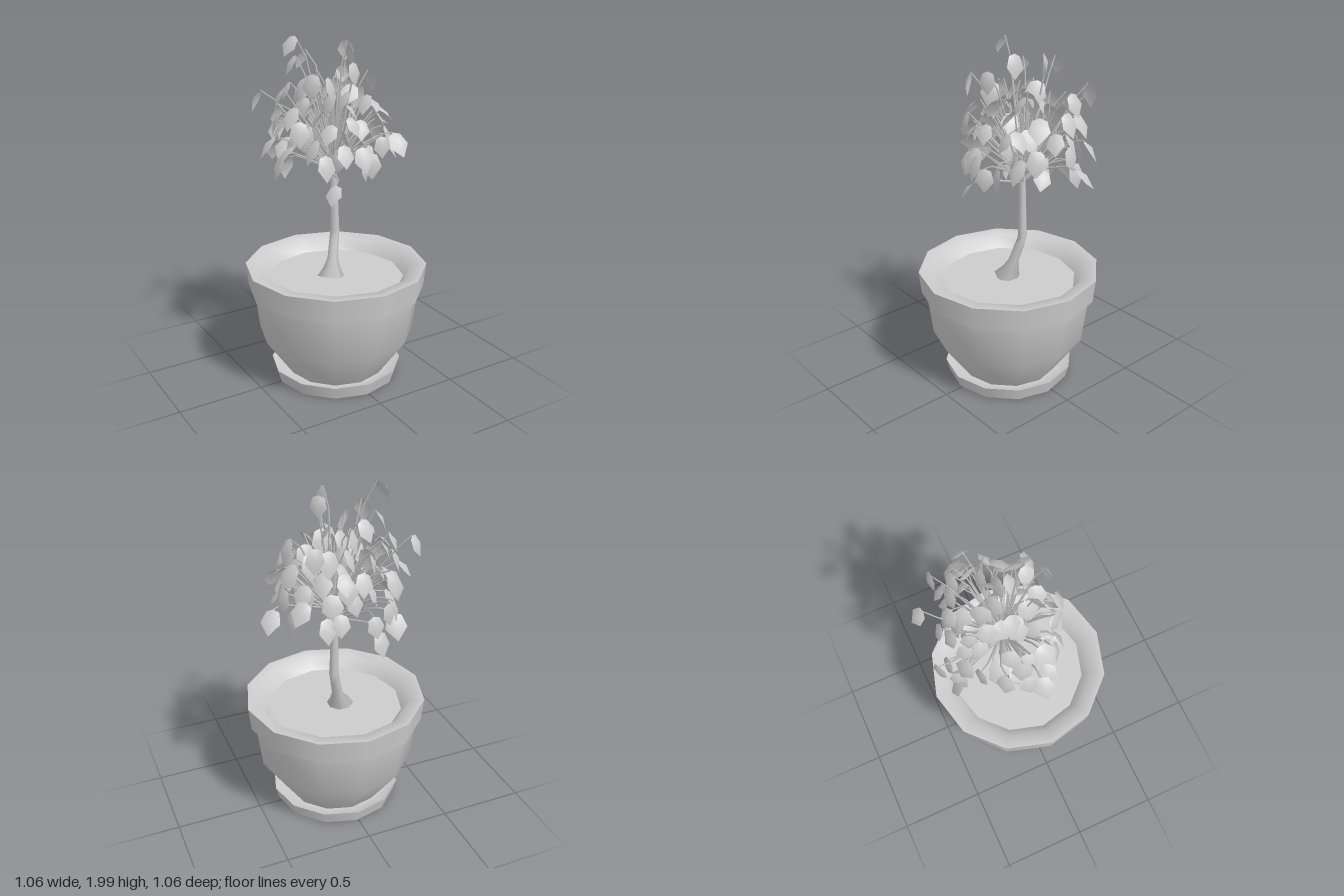
import * as THREE from 'three';
import { mergeGeometries } from 'three/addons/utils/BufferGeometryUtils.js';

const SIDES = 12, TURN = -0.03, POT_Z = 0.018;
const V = (x, y, z) => new THREE.Vector3(x, y, z);

// Seeded random numbers
let seed = 7;
const rnd = () => (seed = (seed * 16807) % 2147483647) / 2147483647;

function createMaterial() {
  return new THREE.MeshStandardMaterial({ color: 0xcccccc, side: THREE.DoubleSide });
}

// Twelve-sided turned bands; every profile in the list is smooth within itself
function turned(name, profiles, material) {
  const bands = profiles.map(p =>
    new THREE.LatheGeometry(p.map(([r, y]) => new THREE.Vector2(r, y)), SIDES, TURN));
  const mesh = new THREE.Mesh(mergeGeometries(bands), material);
  mesh.name = name;
  mesh.position.z = POT_Z;
  return mesh;
}

// Straight runs through the given points
function polyline(points) {
  const path = new THREE.CurvePath();
  for (let i = 1; i < points.length; i++) path.add(new THREE.LineCurve3(points[i - 1], points[i]));
  return path;
}

// Tube whose radius follows radiusAt(t)
function taperedTube(curve, segments, sides, radiusAt) {
  const geo = new THREE.TubeGeometry(curve, segments, 1, sides);
  const pos = geo.attributes.position, v = V(0, 0, 0);
  for (let i = 0; i <= segments; i++) {
    const c = curve.getPointAt(i / segments);
    for (let j = 0; j <= sides; j++) {
      const k = i * (sides + 1) + j;
      v.fromBufferAttribute(pos, k).sub(c).multiplyScalar(radiusAt(i / segments)).add(c);
      pos.setXYZ(k, v.x, v.y, v.z);
    }
  }
  return geo;
}

// Angular pointed leaf, folded on its midrib, growing along +z with its face up (+y)
function leafGeometry() {
  const geo = new THREE.BufferGeometry();
  geo.setAttribute('position', new THREE.Float32BufferAttribute([
    0, 0, 0, 0, 0.014, 0.06, 0, -0.02, 0.14,
    0.036, -0.004, 0.014, 0.055, -0.008, 0.075,
    -0.036, -0.004, 0.014, -0.055, -0.008, 0.075], 3));
  geo.setIndex([0, 1, 3, 3, 1, 4, 4, 1, 2, 0, 5, 1, 5, 6, 1, 6, 2, 1]);
  geo.computeVertexNormals();
  return geo;
}

// Leaf attachment points: outlying ones placed, the rest spread through a dome
function leafPoints() {
  const points = [
    [-0.18, 1.99, -0.11], [0.06, 1.95, 0.03], [0.14, 1.95, -0.1], [0, 1.88, -0.32],
    [-0.2, 1.82, 0.12], [-0.13, 1.87, -0.2], [0.01, 1.87, 0.17], [0.25, 1.77, -0.33],
    [0.31, 1.76, -0.14], [-0.35, 1.7, -0.2], [-0.36, 1.48, -0.02], [0.4, 1.37, -0.11],
    [0.31, 1.38, 0.04], [-0.1, 1.22, 0.19], [-0.1, 1.25, -0.35], [-0.09, 1.47, -0.46],
    [0.14, 1.66, -0.43], [0.2, 1.59, 0.15], [0.28, 1.46, 0.17], [-0.27, 1.57, 0.09],
    [0.02, 1.43, 0.25], [0.05, 1.36, 0.23], [-0.17, 1.36, -0.37], [0.3, 1.64, -0.2],
    [0.03, 1.74, -0.09], [0.05, 1.7, -0.24], [-0.1, 1.75, -0.15], [0.12, 1.72, 0],
  ].map(p => V(...p));
  const count = 62;
  for (let i = 0; i < count; i++) {
    const h = (i + 0.5) / count, a = i * 2.39996;
    const r = 0.35 * Math.sqrt(1 - 0.65 * h * h) * Math.sqrt(0.12 + 0.88 * rnd());
    points.push(V(0.01 + r * Math.sin(a), 1.34 + 0.43 * h + 0.06 * (rnd() - 0.5), -0.09 + r * Math.cos(a)));
  }
  return points;
}

export function createModel() {
  seed = 7;
  const model = new THREE.Group(), material = createMaterial();
  model.name = 'pottedTree';

  // Saucer, pot and rim
  model.add(turned('saucer', [
    [[0, 0], [0.365, 0]], [[0.365, 0], [0.385, 0.075]],
    [[0.385, 0.075], [0.3, 0.04], [0, 0.04]]], material));
  model.add(turned('potBody', [
    [[0.29, 0.04], [0.455, 0.28], [0.487, 0.548]]], material));
  // Rim rounds over from a nearly flat top down to the soil
  model.add(turned('potRim', [
    [[0.48, 0.548], [0.514, 0.548]], [[0.514, 0.548], [0.528, 0.685]],
    [[0.528, 0.685], [0.45, 0.678], [0.392, 0.605]]], material));

  // Soil
  model.add(turned('soil', [[[0.395, 0.61], [0, 0.61]]], material));

  // Trunk with a flared foot and a sharp bend
  const trunkPath = polyline([
    V(-0.025, 0.6, 0.005), V(0.036, 0.86, -0.055), V(0.03, 1.25, -0.057)]);
  const trunk = new THREE.Mesh(taperedTube(trunkPath, 12, 7,
    t => 0.034 - 0.016 * t + 0.05 * Math.max(0, 1 - t / 0.13)), material);
  trunk.name = 'trunk';
  model.add(trunk);

  // Twigs fan out from the trunk top and hook over; a leaf hangs from each
  const twigs = [], leaves = [], leaf = leafGeometry();
  for (const tip of leafPoints()) {
    const start = V(0.03, 1.2 + 0.08 * rnd(), -0.057);
    const bend = start.clone().lerp(tip, 0.85);
    bend.x += 0.05 * (rnd() - 0.5);
    bend.y += 0.03;
    bend.z += 0.05 * (rnd() - 0.5);
    twigs.push(taperedTube(polyline([start, bend, tip]), 6, 3, t => 0.01 - 0.006 * t));

    // Outer leaves face outwards, inner ones turn more freely
    const reach = Math.hypot(tip.x - start.x, tip.z - start.z);
    const yaw = Math.atan2(tip.x - start.x, tip.z - start.z) + (reach < 0.2 ? 4 : 1.6) * (rnd() - 0.5);
    const droop = 0.7 + 0.65 * rnd(), size = 0.85 + 0.25 * rnd();
    leaves.push(leaf.clone().applyMatrix4(new THREE.Matrix4().compose(tip,
      new THREE.Quaternion().setFromEuler(new THREE.Euler(droop, yaw, 0.8 * (rnd() - 0.5), 'YXZ')),
      V(size, size, size))));
  }
  const twigMesh = new THREE.Mesh(mergeGeometries(twigs), material);
  twigMesh.name = 'twigs';
  const leafMesh = new THREE.Mesh(mergeGeometries(leaves), material);
  leafMesh.name = 'leaves';
  model.add(twigMesh, leafMesh);
  return model;
}
